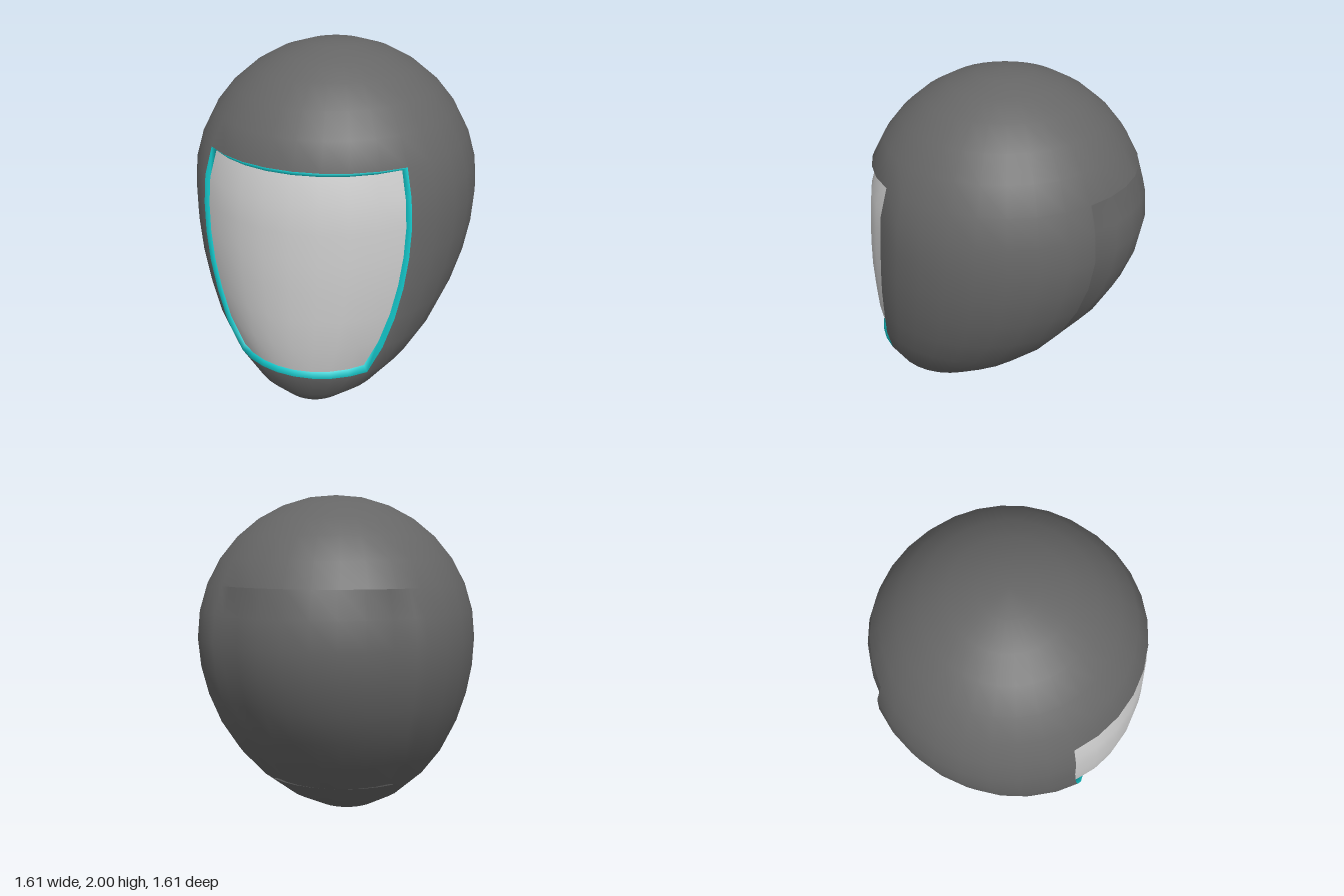
import * as THREE from 'three';
import { mergeVertices } from 'three/addons/utils/BufferGeometryUtils.js';

const COLS = 32, TOP = 6, BOTTOM = 13, HALF = 4; // openings span 45 degrees either side

// Ring profile as [y, radius, z offset]: a dome above, tapering forward to the chin
const R = 0.805, MID = 1.195;
const rings = [];
for (let i = 0; i <= 8; i++) {
  const a = i * Math.PI / 16;
  rings.push([MID + R * Math.cos(a), R * Math.sin(a), 0]);
}
rings.push(
  [1.03, 0.797, 0.02], [0.86, 0.768, 0.055], [0.68, 0.715, 0.105], [0.5, 0.635, 0.18],
  [0.325, 0.52, 0.265], [0.165, 0.367, 0.35], [0.05, 0.195, 0.42], [0, 0, 0.45]
);

// Point on the shell; column 0 is the front centre, 16 the back centre
function shellPoint(i, j) {
  const [y, r, z] = rings[i];
  const a = ((j + COLS) % COLS) * 2 * Math.PI / COLS;
  return new THREE.Vector3(r * Math.sin(a), y, z + r * Math.cos(a));
}

// Visor: slightly shrunk and set back into the front opening
function visorPoint(i, j) {
  const p = shellPoint(i, j);
  return p.set(p.x * 0.955 - 0.008, 0.915 + (p.y - 0.915) * 0.955, p.z - 0.022);
}

// Back panel: narrowed sideways so its edges sink below the shell
function backPoint(i, j) {
  const p = shellPoint(i, j);
  p.x *= 0.91;
  return p;
}

function quad(out, a, b, c, d) {
  for (const p of [a, b, c, a, c, d]) out.push(p.x, p.y, p.z);
}

// Grid of quads over a range of rings and columns
function patch(out, point, i0, i1, j0, j1, skip = () => false) {
  for (let i = i0; i < i1; i++) {
    for (let j = j0; j < j1; j++) {
      if (skip(i, j)) continue;
      quad(out, point(i, j), point(i + 1, j), point(i + 1, j + 1), point(i, j + 1));
    }
  }
}

// Step between an opening's rim and the panel inside it
function wall(out, inner, centre) {
  const loop = [];
  for (let j = -HALF; j < HALF; j++) loop.push([BOTTOM, centre + j]);
  for (let i = BOTTOM; i > TOP; i--) loop.push([i, centre + HALF]);
  for (let j = HALF; j > -HALF; j--) loop.push([TOP, centre + j]);
  for (let i = TOP; i < BOTTOM; i++) loop.push([i, centre - HALF]);
  loop.forEach((a, k) => {
    const b = loop[(k + 1) % loop.length];
    quad(out, shellPoint(...a), shellPoint(...b), inner(...b), inner(...a));
  });
}

function smooth(points) {
  let g = new THREE.BufferGeometry();
  g.setAttribute('position', new THREE.Float32BufferAttribute(points, 3));
  g = mergeVertices(g, 1e-5);
  g.computeVertexNormals();
  return g;
}

// Piece of a geometry that keeps the shared smooth normals
function section(g, start, end) {
  const s = new THREE.BufferGeometry();
  s.setAttribute('position', g.getAttribute('position'));
  s.setAttribute('normal', g.getAttribute('normal'));
  s.setIndex(Array.from(g.index.array.slice(start, end)));
  return s;
}

export function createModel() {
  const group = new THREE.Group();
  const add = (name, geometry, color) => {
    const mesh = new THREE.Mesh(geometry,
      new THREE.MeshStandardMaterial({ color, side: THREE.DoubleSide }));
    mesh.name = name;
    group.add(mesh);
  };

  // Shell with front opening, and sunken back panel
  const points = [];
  const inOpening = (i, j) => i >= TOP && i < BOTTOM &&
    [0, 16].some(c => j >= c - HALF && j < c + HALF);
  patch(points, shellPoint, 0, 16, -8, 24, inOpening);
  patch(points, backPoint, TOP, BOTTOM, 16 - HALF, 16 + HALF);
  wall(points, backPoint, 16);
  const shellEnd = points.length / 3;

  // Coloured frame around the visor
  wall(points, visorPoint, 0);
  const body = smooth(points);
  add('helmetShell', section(body, 0, shellEnd), 0x666666);
  add('visorFrame', section(body, shellEnd, points.length / 3), 0x14cdd0);

  // Visor
  const visor = [];
  patch(visor, visorPoint, TOP, BOTTOM, -HALF, HALF);
  add('visor', smooth(visor), 0xcccccc);

  return group;
}
